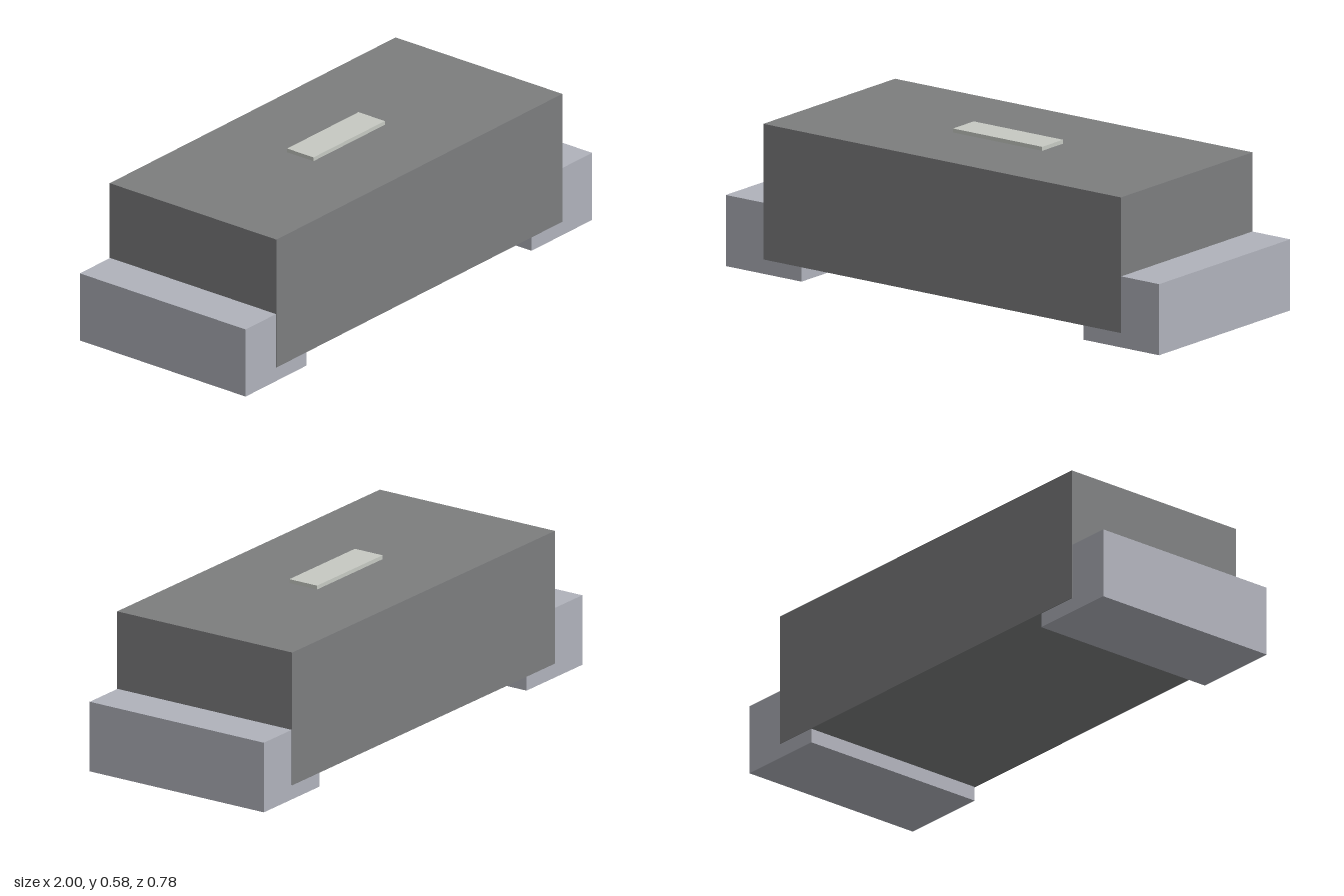
import * as THREE from 'three';

export function createModel() {
  const group = new THREE.Group();
  const material = (name, color) => {
    const m = new THREE.MeshStandardMaterial({ color });
    m.name = name;
    return m;
  };
  const bodyGrey = material('bodyGrey', 0x7c7d7e);
  const metal = material('terminalMetal', 0xb0b2bb);
  const pale = material('markPale', 0xc6c9c2);

  // Box given by its x and y ranges and its depth, centred on z = 0
  const addBox = (name, mat, x0, x1, y0, y1, depth) => {
    const mesh = new THREE.Mesh(new THREE.BoxGeometry(x1 - x0, y1 - y0, depth), mat);
    mesh.position.set((x0 + x1) / 2, (y0 + y1) / 2, 0);
    mesh.name = name;
    group.add(mesh);
  };

  // Main block, a hair deeper than the terminals so that its sides stay in front
  addBox('body', bodyGrey, -0.825, 0.825, 0.055, 0.568, 0.784);

  // End terminals, wrapping under the block
  addBox('leftTerminal', metal, 0.65, 1, 0, 0.269, 0.78);
  addBox('rightTerminal', metal, -1, -0.65, 0, 0.269, 0.78);

  // Raised mark on top
  addBox('topMark', pale, -0.206, 0.206, 0.56, 0.583, 0.124);

  return group;
}
